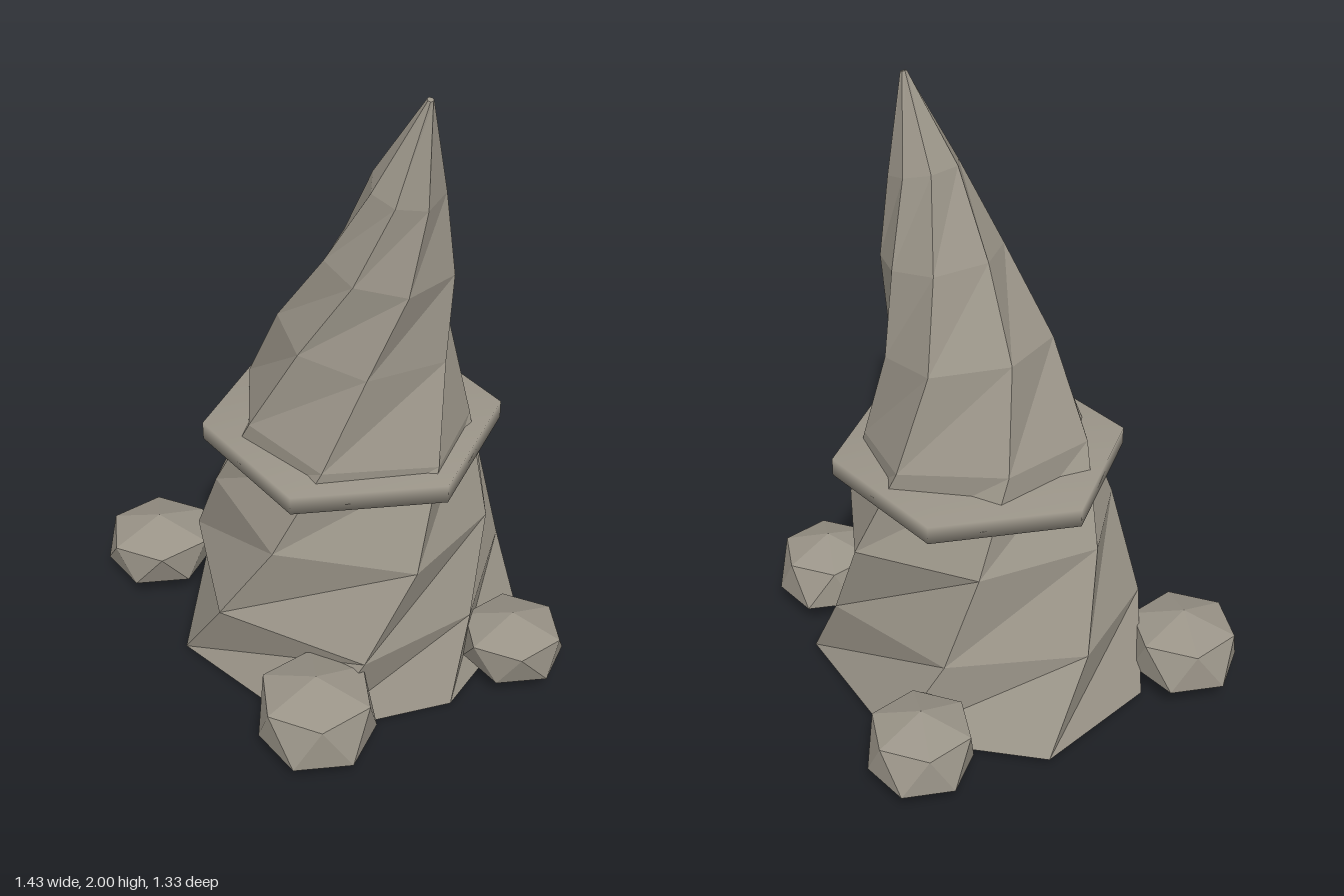
import * as THREE from 'three';
import { mergeVertices } from 'three/addons/utils/BufferGeometryUtils.js';

const stone = new THREE.MeshStandardMaterial({ color: 0x9a9488 });
stone.name = 'weathered stone';
stone.side = THREE.DoubleSide;

// Joins equal-sized loops of points into a faceted skin, optionally closed at either end.
function loft(loops, closeBottom, closeTop) {
  const n = loops[0].length;
  const pos = [];
  const tri = (...points) => points.forEach((p) => pos.push(p.x, p.y, p.z));
  const middle = (loop) => loop.reduce((s, p) => s.add(p), new THREE.Vector3()).divideScalar(n);
  const low = loops[0];
  const high = loops[loops.length - 1];
  for (let i = 0; i < n; i++) {
    const j = (i + 1) % n;
    for (let l = 0; l < loops.length - 1; l++) {
      const [a, b] = [loops[l][i], loops[l][j]];
      const [c, d] = [loops[l + 1][i], loops[l + 1][j]];
      tri(a, c, b);
      tri(b, c, d);
    }
    if (closeBottom) tri(low[i], low[j], middle(low));
    if (closeTop) tri(high[j], high[i], middle(high));
  }
  const geo = new THREE.BufferGeometry();
  geo.setAttribute('position', new THREE.Float32BufferAttribute(pos, 3));
  geo.computeVertexNormals();
  return geo;
}

function addMesh(group, name, geo) {
  const mesh = new THREE.Mesh(geo, stone);
  mesh.name = name;
  group.add(mesh);
  return mesh;
}

// Seven-sided horn that twists and leans towards +x as it rises, open underneath.
function spireGeometry() {
  // centre x, height, centre z, radius, tilt
  const levels = [
    [0, 0.015, 0.05, 0.57, 0.028],
    [0.02, 0.285, 0.07, 0.505, 0.05],
    [0.045, 0.58, 0.045, 0.445, 0.08],
    [0.06, 0.88, 0.045, 0.355, 0.085],
    [0.095, 1.18, 0.035, 0.26, 0.12],
    [0.18, 1.45, 0.02, 0.185, 0.16],
    [0.245, 1.71, 0.015, 0.108, 0.28],
    [0.318, 1.997, 0, 0.01, 0.3],
  ];
  // uneven corners: angle in degrees, radius factor
  const corners = [[0, 0.97], [47, 1.03], [106, 0.98], [158, 0.99], [202, 1.05], [254, 0.97], [312, 1.02]];
  const twist = 17;
  const loops = levels.map(([cx, y, cz, r, tilt], l) => corners.map(([deg, k]) => {
    const a = THREE.MathUtils.degToRad(deg - twist * l);
    const dx = Math.cos(a) * r * k;
    return new THREE.Vector3(cx + dx, y - tilt * dx, cz + Math.sin(a) * r * k);
  }));
  return loft(loops, false, true);
}

// Six-sided boulder with a flat underside shifted by (sx, sz) and a low pointed top.
function boulderGeometry(r, top, sx, sz) {
  const ring = (radius, y, turn, ox, oz) => Array.from({ length: 6 }, (_, i) => {
    const a = (i * Math.PI) / 3 + turn;
    return new THREE.Vector3(ox + Math.cos(a) * radius, y, oz + Math.sin(a) * radius);
  });
  const loops = [
    ring(r * 1.02, 0.083, 0, sx, sz),
    ring(r, top - 0.06, Math.PI / 6, 0, 0),
    ring(0.001, top, Math.PI / 6, 0, 0),
  ];
  return loft(loops, true, false);
}

// Hexagonal collar with softly shaded edges.
function collarGeometry() {
  const geo = new THREE.CylinderGeometry(0.467, 0.467, 0.06, 6);
  geo.rotateY(Math.PI / 2);
  geo.deleteAttribute('normal');
  geo.deleteAttribute('uv');
  const welded = mergeVertices(geo);
  welded.computeVertexNormals();
  return welded;
}

export function createModel() {
  const model = new THREE.Group();
  model.name = 'twistedStoneSpire';

  addMesh(model, 'spire', spireGeometry());
  addMesh(model, 'collar', collarGeometry()).position.set(0.027, 0.8, 0.04);

  // x, z, radius, top height, underside shift
  const boulders = [
    [-0.515, 0.45, 0.172, 0.27, -0.025, -0.01],
    [0.44, 0.49, 0.178, 0.285, 0.02, 0.01],
    [0.57, -0.18, 0.158, 0.27, -0.015, -0.025],
    [-0.32, -0.495, 0.162, 0.265, -0.02, -0.02],
  ];
  const rocks = new THREE.Group();
  rocks.name = 'boulders';
  for (const [x, z, r, top, sx, sz] of boulders) {
    addMesh(rocks, 'boulder', boulderGeometry(r, top, sx, sz)).position.set(x, 0, z);
  }
  model.add(rocks);
  return model;
}
